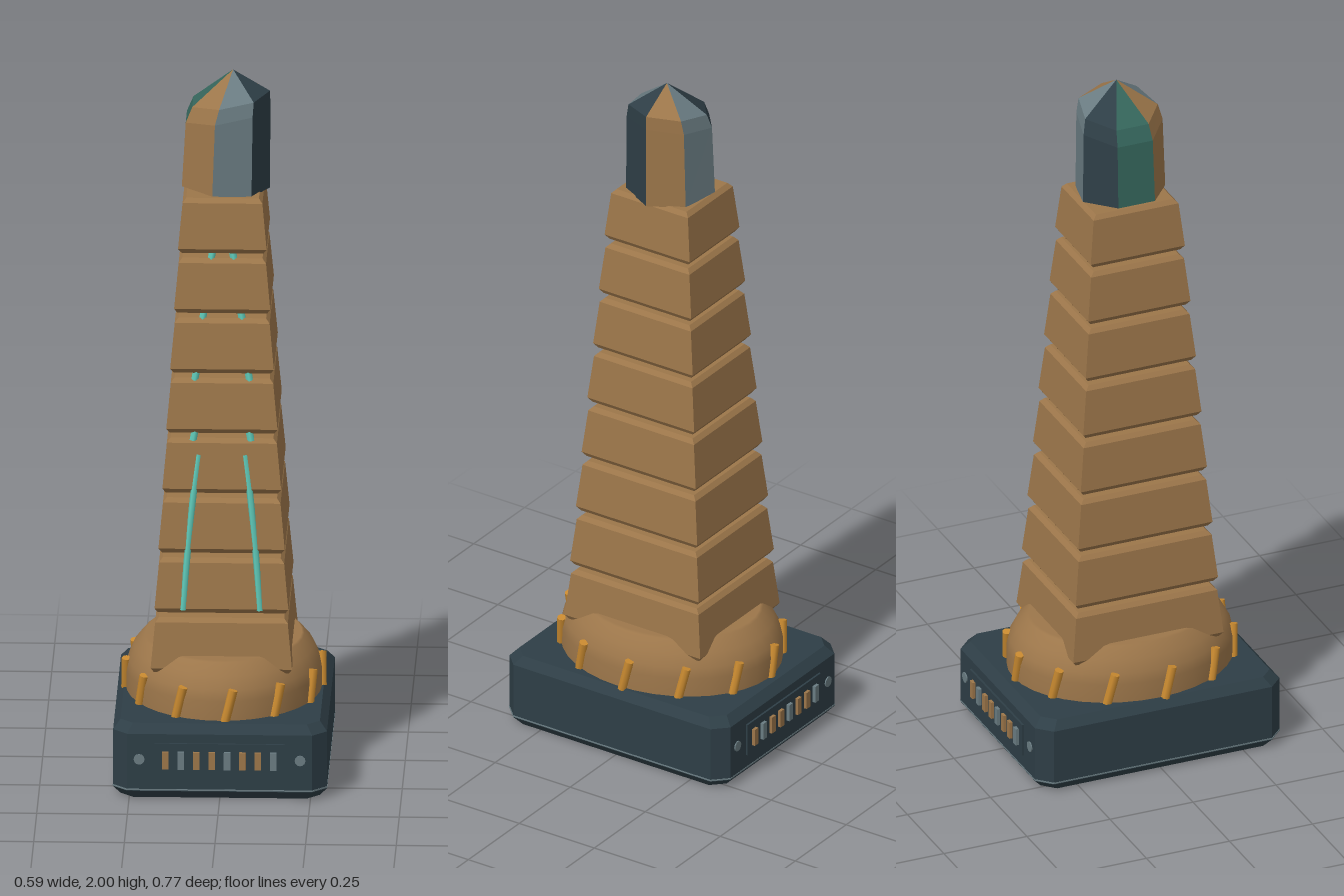
import * as THREE from 'three';

const mat = (name, color, side = THREE.FrontSide) => {
  const m = new THREE.MeshStandardMaterial({ color, side });
  m.name = name;
  return m;
};

// Flat-faced skin over rings of points [x, y, z]; one material group per side if asked
function loft(rings, sideGroups = false) {
  const n = rings[0].length, pos = [];
  const tri = (...pts) => pts.forEach((p) => pos.push(...p));
  const geo = new THREE.BufferGeometry();
  for (let k = 0; k < n; k++) {
    const j = (k + 1) % n, start = pos.length / 3;
    for (let i = 0; i < rings.length - 1; i++) {
      const lo = rings[i], hi = rings[i + 1];
      tri(lo[k], hi[k], lo[j]);
      tri(lo[j], hi[k], hi[j]);
    }
    if (sideGroups) geo.addGroup(start, pos.length / 3 - start, k);
  }
  const capStart = pos.length / 3;
  const bottom = rings[0], top = rings[rings.length - 1];
  for (let k = 1; k < n - 1; k++) {
    tri(bottom[0], bottom[k], bottom[k + 1]);
    tri(top[0], top[k + 1], top[k]);
  }
  if (sideGroups) geo.addGroup(capStart, pos.length / 3 - capStart, 0);
  geo.setAttribute('position', new THREE.Float32BufferAttribute(pos, 3));
  geo.computeVertexNormals();
  return geo;
}

const rect = (x, z, y) => [[x, y, -z], [x, y, z], [-x, y, z], [-x, y, -z]];
const octagon = (x, z, c, y) => [
  [x, y, -z + c], [x, y, z - c], [x - c, y, z], [-x + c, y, z],
  [-x, y, z - c], [-x, y, -z + c], [-x + c, y, -z], [x - c, y, -z],
];

export function createModel() {
  const model = new THREE.Group();
  model.name = 'obelisk';
  const bronze = mat('bronze', 0x9c764a);
  const slate = mat('slate', 0x2e3e46);
  const grey = mat('grey', 0x6a7c82);
  const amber = mat('amber', 0xc98a30);
  const cyan = mat('cyan', 0x5fc9b8);
  const teal = mat('teal', 0x35665c);

  const add = (name, geo, material, parent = model) => {
    const m = new THREE.Mesh(geo, material);
    m.name = name;
    parent.add(m);
    return m;
  };

  // Bevelled plinth and its thin trim line
  add('plinth', loft([
    octagon(0.275, 0.345, 0.035, 0), octagon(0.295, 0.368, 0.04, 0.025),
    octagon(0.295, 0.368, 0.04, 0.19), octagon(0.275, 0.345, 0.035, 0.215),
  ]), slate);
  add('plinthTrim', loft([octagon(0.296, 0.369, 0.04, 0.027), octagon(0.296, 0.369, 0.04, 0.031)]), grey);

  // Vent panels on front and back
  for (const turn of [0, Math.PI]) {
    const vent = new THREE.Group();
    vent.name = turn ? 'backVent' : 'frontVent';
    vent.rotation.y = turn;
    model.add(vent);
    add('ventPlate', new THREE.BoxGeometry(0.36, 0.095, 0.009), slate, vent).position.set(0, 0.117, 0.3695);
    for (let i = 0; i < 8; i++) {
      const bar = add('ventBar', new THREE.BoxGeometry(0.018, 0.05, 0.014), i % 3 === 1 ? grey : bronze, vent);
      bar.position.set(-0.149 + i * 0.0425, 0.117, 0.376);
    }
    for (const s of [-1, 1]) {
      const bolt = add('bolt', new THREE.CylinderGeometry(0.015, 0.015, 0.01, 12).rotateX(Math.PI / 2), grey, vent);
      bolt.position.set(s * 0.222, 0.117, 0.3665);
    }
  }

  // Oval domed collar
  const profile = [[0.27, 0.21], [0.27, 0.27], [0.264, 0.3], [0.248, 0.335], [0.222, 0.366], [0.215, 0.37], [0, 0.371]];
  add('collar', new THREE.LatheGeometry(profile.map((p) => new THREE.Vector2(...p)), 36).scale(1, 1, 1.19), bronze);

  // Leaning pegs around the collar
  const up = new THREE.Vector3(0, 1, 0);
  for (let k = 0; k < 12; k++) {
    const a = k * Math.PI / 6 - 0.09;
    const peg = add('peg', new THREE.CylinderGeometry(0.013, 0.013, 0.095, 8), amber);
    peg.position.set(0.27 * Math.cos(a), 0.257, 0.32 * Math.sin(a));
    const axis = new THREE.Vector3(0.25 * Math.sin(a), 1, -0.25 * Math.cos(a)).normalize();
    peg.quaternion.setFromUnitVectors(up, axis);
  }

  // Stack of separate tapered blocks
  for (let i = 0; i < 8; i++) {
    const y = 0.32 + 0.17 * i, w = 0.195 - 0.0104 * i, t = w - 0.012, d = 1.16;
    add('shaftBlock', loft([
      rect(w - 0.009, (w - 0.009) * d, y), rect(w, w * d, y + 0.014),
      rect(t, t * d, y + 0.143), rect(t - 0.01, (t - 0.01) * d, y + 0.155),
    ]), bronze);
  }

  // Glowing strands on the front face and through the upper gaps
  const strand = (name, points, r) => {
    for (const s of [-1, 1]) {
      const curve = new THREE.CatmullRomCurve3(points.map(([x, y, z]) => new THREE.Vector3(s * x, y, z)));
      add(name, new THREE.TubeGeometry(curve, 16, r, 6), cyan);
    }
  };
  strand('lowerStrand', [[0.106, 0.5, 0.211], [0.095, 0.65, 0.199], [0.079, 0.82, 0.187], [0.064, 0.94, 0.174]], 0.009);
  for (const [x, y, z] of [[0.077, 0.993, 0.162], [0.073, 1.163, 0.148], [0.052, 1.334, 0.132], [0.029, 1.503, 0.12]]) {
    strand('gapStrand', [[x + 0.003, y - 0.016, z + 0.002], [x, y, z], [x - 0.003, y + 0.016, z - 0.002]], 0.011);
  }

  // Seven-sided crystal, leaning a little toward +x
  const ring = (r, dx, y, slope) => Array.from({ length: 7 }, (_, k) => {
    const a = k * 2 * Math.PI / 7;
    return [dx + r * Math.cos(a), y + slope * Math.cos(a), r * Math.sin(a)];
  });
  add('crystal', loft([
    ring(0.127, 0, 1.669, -0.01), ring(0.122, 0.006, 1.88, 0.02),
    ring(0.112, 0.015, 1.922, 0.018), ring(0.001, 0.025, 2, 0),
  ], true), [slate, grey, bronze, teal, slate, grey, bronze]);

  return model;
}
